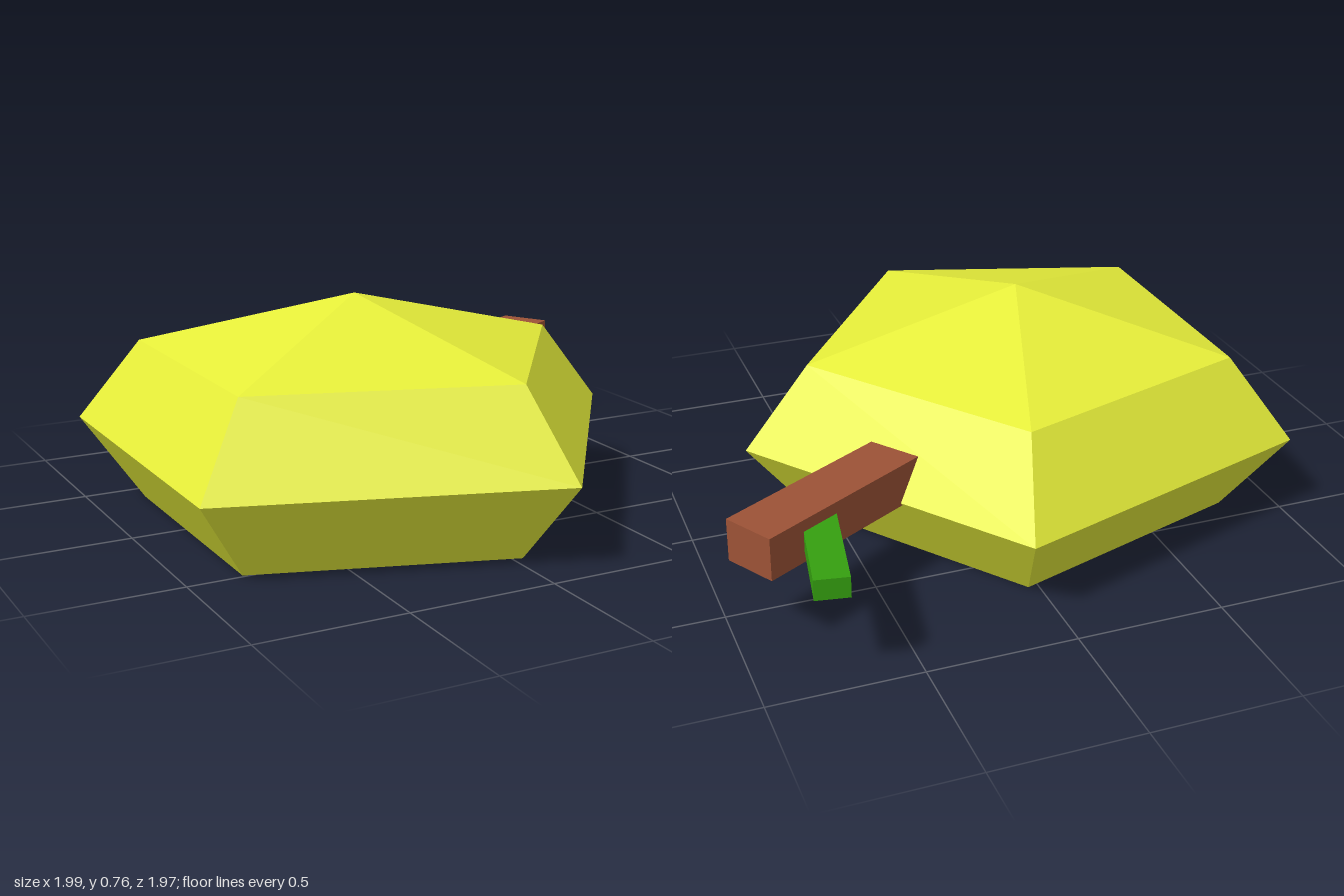
import * as THREE from 'three';

const material = (color) => new THREE.MeshStandardMaterial({ color, flatShading: true });

// Box lying level, ending at (x, z) and pointing outward at the given angle from +x towards -z
function bar(name, color, [length, height, width], [x, y, z], degrees) {
  const a = THREE.MathUtils.degToRad(degrees);
  const mesh = new THREE.Mesh(new THREE.BoxGeometry(length, height, width), material(color));
  mesh.name = name;
  mesh.rotation.y = a;
  mesh.position.set(x - Math.cos(a) * length / 2, y, z + Math.sin(a) * length / 2);
  return mesh;
}

export function createModel() {
  const model = new THREE.Group();
  model.name = 'fruit';

  // Five-sided faceted body: flat base, wide waist, shallow pointed top
  const profile = [[0, 0], [0.757, 0], [0.985, 0.285], [0.757, 0.57], [0, 0.757]]
    .map(([r, y]) => new THREE.Vector2(r, y));
  const body = new THREE.Mesh(new THREE.LatheGeometry(profile, 5, Math.PI / 2), material(0xe6ee3a));
  body.name = 'fruitBody';
  body.position.set(-0.2, 0, 0.045);
  model.add(body);

  // Stem set into the side, with a small leaf branching off it
  model.add(bar('stem', 0x9c5236, [0.8, 0.145, 0.186], [0.95, 0.347, -0.69], 30));
  model.add(bar('leaf', 0x359f10, [0.4, 0.07, 0.11], [0.775, 0.345, -0.98], 80));

  return model;
}
